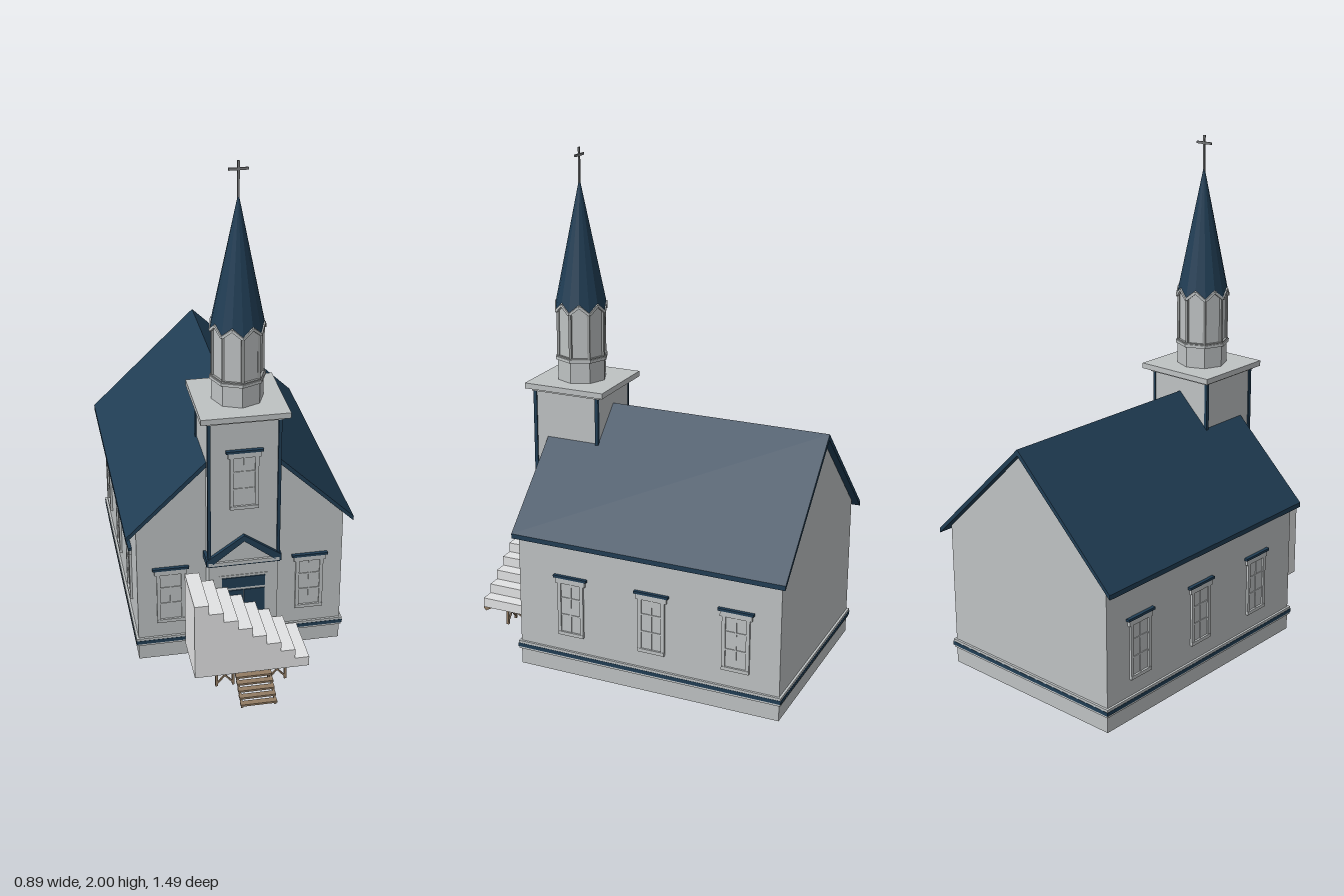
import * as THREE from 'three';

const mat = (name, color, side = THREE.FrontSide) => {
  const m = new THREE.MeshStandardMaterial({ color, side });
  m.name = name;
  return m;
};

export function createModel() {
  const wall = mat('wall grey', 0xbec2c3);
  const blue = mat('roof blue', 0x203d54, THREE.DoubleSide);
  const stone = mat('stair stone', 0xe2e3e4);
  const trim = mat('frame grey', 0x979a9a);
  const wood = mat('wood brown', 0x927c63);
  const metal = mat('cross metal', 0x77797b);

  const model = new THREE.Group();
  model.name = 'church';

  const add = (name, geo, m, parent = model) => {
    const mesh = new THREE.Mesh(geo, m);
    mesh.name = name;
    parent.add(mesh);
    return mesh;
  };
  // Box given by its lower and upper limits
  const box = (name, m, x0, x1, y0, y1, z0, z1, parent) => {
    const mesh = add(name, new THREE.BoxGeometry(x1 - x0, y1 - y0, z1 - z0), m, parent);
    mesh.position.set((x0 + x1) / 2, (y0 + y1) / 2, (z0 + z1) / 2);
    return mesh;
  };
  // Square bar between two points
  const up = new THREE.Vector3(0, 1, 0);
  const bar = (name, m, a, b, w, parent, d = w) => {
    const p = new THREE.Vector3(...a), q = new THREE.Vector3(...b);
    const mesh = add(name, new THREE.BoxGeometry(w, d, p.distanceTo(q)), m, parent);
    mesh.position.copy(p).add(q).multiplyScalar(0.5);
    mesh.quaternion.setFromRotationMatrix(new THREE.Matrix4().lookAt(q, p, up));
  };
  const vec2 = (points) => points.map(([x, y]) => new THREE.Vector2(x, y));
  // Profile in x and y, extruded from z0 to z1
  const prism = (name, m, points, z0, z1, parent) => {
    const geo = new THREE.ExtrudeGeometry(new THREE.Shape(vec2(points)), { depth: z1 - z0, bevelEnabled: false });
    geo.translate(0, 0, z0);
    return add(name, geo, m, parent);
  };

  // Hollow foundation and mouldings follow the footprint of nave and tower
  const footprint = (o) => {
    const right = [[0.405 + o, 0.72 + o], [0.405 + o, -0.365 - o], [0.135 + o, -0.365 - o], [0.135 + o, -0.425 - o]];
    return vec2([...right, ...right.map(([x, z]) => [-x, z]).reverse()]);
  };
  const ring = (name, m, out, y0, y1) => {
    const shape = new THREE.Shape(footprint(out));
    shape.holes.push(new THREE.Path(footprint(-0.006)));
    const geo = new THREE.ExtrudeGeometry(shape, { depth: y1 - y0, bevelEnabled: false });
    geo.rotateX(-Math.PI / 2);
    geo.translate(0, y0, 0);
    add(name, geo, m);
  };
  ring('foundation', wall, 0, 0, 0.07);
  ring('baseLowerLedge', wall, 0.007, 0.066, 0.075);
  ring('baseBand', blue, 0.01, 0.075, 0.09);
  ring('baseUpperLedge', wall, 0.009, 0.09, 0.1);

  // Nave and gabled roof
  prism('naveWalls', wall, [[-0.405, 0.07], [0.405, 0.07], [0.405, 0.585], [0, 0.975], [-0.405, 0.585]], -0.72, 0.365);
  prism('naveRoof', blue, [[-0.445, 0.551], [0, 0.976], [0.445, 0.551], [0.445, 0.57], [0, 1], [-0.445, 0.57]], -0.745, 0.375);

  // Tower shaft
  box('towerWalls', wall, -0.135, 0.135, 0.07, 1.065, 0.152, 0.425);

  // Tower corner trim, belt and cornice
  for (const s of [-1, 1]) {
    for (const z of [0.157, 0.427]) {
      const y0 = z > 0.3 ? 0.46 : 0.8;
      const t = box('towerCornerTrim', blue, -0.006, 0.006, y0, 1.06, z - 0.007, z + 0.007);
      t.position.x = s * 0.134;
    }
    const belt = box('towerSideBelt', blue, -0.007, 0.007, 0.445, 0.475, 0.365, 0.437);
    belt.position.x = s * 0.139;
  }
  box('towerFrieze', wall, -0.145, 0.145, 1.055, 1.07, 0.142, 0.437);
  box('towerCornice', wall, -0.168, 0.168, 1.068, 1.09, 0.117, 0.456);

  // Pediment over the door
  prism('pedimentPanel', wall, [[-0.14, 0.46], [0.14, 0.46], [0, 0.56]], 0.42, 0.431);
  prism('pedimentRakes', blue, [[-0.146, 0.455], [-0.12, 0.455], [0, 0.547], [0.12, 0.455], [0.146, 0.455], [0.146, 0.472], [0, 0.573], [-0.146, 0.472]], 0.42, 0.44);
  box('pedimentSill', wall, -0.138, 0.138, 0.447, 0.461, 0.42, 0.44);
  box('pedimentSillLine', blue, -0.14, 0.14, 0.442, 0.447, 0.42, 0.438);

  // Entrance doors with transom
  box('doorFrame', wall, -0.095, 0.095, 0.1, 0.39, 0.42, 0.427);
  box('doorTransom', blue, -0.085, 0.085, 0.334, 0.38, 0.424, 0.431);
  for (const s of [-1, 1]) {
    const door = box('doorLeaf', blue, -0.041, 0.041, 0.1, 0.322, 0.424, 0.431);
    door.position.x = s * 0.0425;
  }

  // Sash window with lintel, facing +z before turning
  const addWindow = (name, x, y, z, turn, h) => {
    const g = new THREE.Group();
    g.name = name;
    g.position.set(x, y, z);
    g.rotation.y = turn;
    model.add(g);
    const w = 0.055;
    box('windowPane', wall, -w, w, 0, h, -0.004, 0.003, g);
    for (const s of [-1, 1]) {
      const jamb = box('windowJamb', wall, -0.007, 0.007, 0, h, 0, 0.009, g);
      jamb.position.x = s * (w - 0.007);
    }
    box('windowMullion', wall, -0.003, 0.003, 0.01, h - 0.02, 0, 0.006, g);
    for (const t of [0.35, 0.65]) box('windowBar', wall, -0.042, 0.042, h * t - 0.003, h * t + 0.003, 0, 0.006, g);
    box('windowSill', wall, -w, w, -0.002, 0.012, 0, 0.011, g);
    box('windowHead', wall, -0.063, 0.063, h - 0.022, h, 0, 0.01, g);
    box('windowLintel', blue, -0.071, 0.071, h, h + 0.01, -0.002, 0.014, g);
  };
  for (const s of [-1, 1]) {
    for (const z of [0.14, -0.203, -0.546]) addWindow('sideWindow', s * 0.405, 0.17, z, s * Math.PI / 2, 0.238);
    addWindow('frontWindow', s * 0.275, 0.17, 0.365, 0, 0.238);
  }
  addWindow('towerWindow', 0, 0.69, 0.426, 0, 0.24);

  // Octagonal belfry
  const belfry = new THREE.Group();
  belfry.name = 'belfry';
  belfry.position.z = 0.289;
  model.add(belfry);
  const drum = (name, r, y0, y1, m) => {
    const geo = new THREE.CylinderGeometry(r, r, y1 - y0, 8).toNonIndexed();
    geo.computeVertexNormals();
    add(name, geo, m, belfry).position.y = (y0 + y1) / 2;
  };
  drum('belfryBase', 0.099, 1.085, 1.175, wall);
  drum('belfryRing', 0.107, 1.174, 1.186, wall);
  drum('belfryRingLine', 0.103, 1.186, 1.191, trim);
  drum('belfryDrum', 0.093, 1.19, 1.395, wall);
  const rim = (i, r, y) => [r * Math.sin(i * Math.PI / 8), y, r * Math.cos(i * Math.PI / 8)];
  for (let i = 0; i < 16; i += 2) {
    bar('belfryPost', trim, rim(i, 0.094, 1.19), rim(i, 0.094, 1.37), 0.011, belfry);
    bar('belfryGableRake', wall, rim(i, 0.102, 1.368), rim(i + 1, 0.098, 1.4), 0.01, belfry);
    bar('belfryGableRake', wall, rim(i + 1, 0.098, 1.4), rim(i + 2, 0.102, 1.368), 0.01, belfry);
  }

  // Spire with zigzag eave
  const spirePoints = [];
  const eave = (k) => k % 2 ? rim(k, 0.098, 1.408) : rim(k, 0.103, 1.375);
  for (let i = 0; i < 16; i++) spirePoints.push(...eave(i), ...eave(i + 1), 0, 1.885, 0);
  const spire = new THREE.BufferGeometry();
  spire.setAttribute('position', new THREE.Float32BufferAttribute(spirePoints, 3));
  spire.computeVertexNormals();
  add('spire', spire, blue, belfry);

  // Cross
  box('crossPost', metal, -0.004, 0.004, 1.86, 2, -0.003, 0.003, belfry);
  box('crossArm', metal, -0.036, 0.036, 1.966, 1.975, -0.003, 0.003, belfry);

  // Stone stair climbing sideways to the door
  const stair = [[-0.23, 0.1], [0.212, 0.1]];
  for (let i = 0; i < 8; i++) {
    const x = 0.212 - i * 0.0552, y = 0.14 + i * 0.0403;
    stair.push([x, y], [x - 0.0552, y]);
  }
  prism('stoneStair', stone, stair, 0.432, 0.655);

  // Wooden landing with braced legs
  const porch = new THREE.Group();
  porch.name = 'woodenPorch';
  model.add(porch);
  box('landing', wood, -0.14, 0.14, 0.086, 0.099, 0.435, 0.6, porch);
  for (const s of [-1, 1]) {
    for (const x of [0.07, 0.135]) {
      for (const z of [0.442, 0.587]) bar('landingLeg', wood, [s * x, 0, z], [s * x, 0.09, z], 0.01, porch);
    }
    bar('frontBrace', wood, [s * 0.07, 0.008, 0.587], [s * 0.135, 0.085, 0.587], 0.006, porch);
    bar('frontBrace', wood, [s * 0.07, 0.085, 0.587], [s * 0.135, 0.008, 0.587], 0.006, porch);
    bar('sideBrace', wood, [s * 0.135, 0.082, 0.58], [s * 0.135, 0.01, 0.447], 0.006, porch);
    bar('stairStringer', wood, [s * 0.064, 0.006, 0.74], [s * 0.064, 0.088, 0.595], 0.008, porch, 0.012);
  }
  // Wooden steps
  for (let i = 0; i < 6; i++) {
    const t = (i + 0.5) / 6;
    const z = 0.744 - t * 0.146, y = 0.008 + t * 0.083;
    box('woodenStep', wood, -0.07, 0.07, y - 0.004, y + 0.004, z - 0.012, z + 0.012, porch);
  }
  return model;
}
